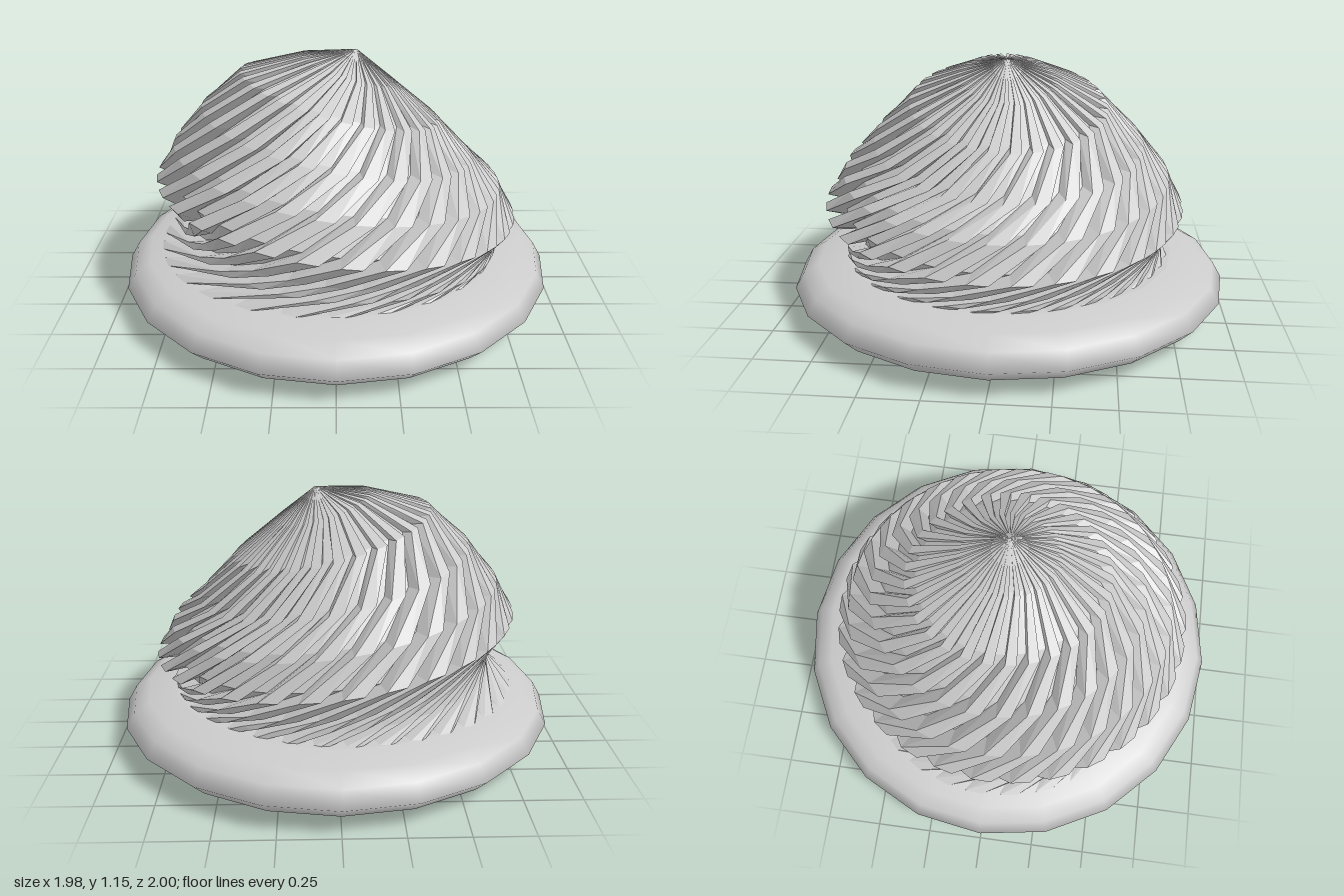
import * as THREE from 'three';

const TEETH = 30;
const DEPTH = 0.11; // groove depth as a share of the ring radius
const SIDE_TILT = -0.2; // share of the slope that also runs along z

// Tilted rings from apex to foot: centre, slope along x, radius, twist in degrees
const RINGS = [
  { cx: 0.09, cz: 0, y: 1.15, slope: 0, r: 0.002, twist: 0 },
  { cx: 0.06, cz: 0, y: 1.06, slope: -0.32, r: 0.22, twist: 5 },
  { cx: 0.02, cz: 0, y: 0.945, slope: -0.26, r: 0.445, twist: 12 },
  { cx: 0.01, cz: 0, y: 0.785, slope: -0.20, r: 0.61, twist: 27 },
  { cx: 0.01, cz: 0.01, y: 0.645, slope: -0.14, r: 0.74, twist: 43 },
  { cx: 0.005, cz: 0.02, y: 0.5, slope: -0.12, r: 0.82, twist: 59 },
  { cx: 0.02, cz: 0.02, y: 0.37, slope: -0.085, r: 0.735, twist: 77 },
  { cx: 0.02, cz: 0.02, y: 0.305, slope: -0.06, r: 0.73, twist: 92 },
  { cx: -0.02, cz: -0.01, y: 0.2, slope: -0.05, r: 0.8, twist: 120 },
];

// One gear-shaped ring: square teeth with a groove after each
function ringPoints({ cx, cz, y, slope, r, twist }) {
  const points = [];
  const corners = [[0, 1], [0.5, 1], [0.5, 1 - DEPTH], [1, 1 - DEPTH]];
  for (let i = 0; i < TEETH; i++) {
    for (const [step, k] of corners) {
      const a = ((i + step) / TEETH) * Math.PI * 2 + THREE.MathUtils.degToRad(twist);
      const dx = Math.cos(a) * r * k;
      const dz = Math.sin(a) * r * k;
      points.push([cx + dx, y + slope * (dx + SIDE_TILT * dz), cz + dz]);
    }
  }
  return points;
}

// Skin between consecutive rings
function twistedDome() {
  const rings = RINGS.map(ringPoints);
  const n = rings[0].length;
  const position = rings.flat(2);
  const index = [];
  for (let j = 0; j < rings.length - 1; j++) {
    for (let i = 0; i < n; i++) {
      const next = (i + 1) % n;
      const a = j * n + i, b = j * n + next;
      const c = a + n, d = b + n;
      index.push(a, b, c, b, d, c);
    }
  }
  const geometry = new THREE.BufferGeometry();
  geometry.setAttribute('position', new THREE.Float32BufferAttribute(position, 3));
  geometry.setIndex(index);
  const flat = geometry.toNonIndexed();
  flat.computeVertexNormals();
  return flat;
}

export function createModel() {
  const group = new THREE.Group();
  group.name = 'twistedDomeOnBase';

  // Rounded disc, with doubled points where the underside is creased
  const profile = [
    [0, 0], [0.77, 0], [0.77, 0], [0.86, 0.02], [0.94, 0.06], [0.94, 0.06], [1, 0.12],
    [0.96, 0.19], [0.89, 0.23], [0.76, 0.25], [0.76, 0.25], [0, 0.25],
  ].map(([x, y]) => new THREE.Vector2(x, y));
  const base = new THREE.Mesh(
    new THREE.LatheGeometry(profile, 20),
    new THREE.MeshStandardMaterial({ color: 0xcccccc })
  );
  base.name = 'base';
  base.scale.x = 0.99;

  // Spiral ribbed dome
  const dome = new THREE.Mesh(
    twistedDome(),
    new THREE.MeshStandardMaterial({ color: 0xcccccc, flatShading: true, side: THREE.DoubleSide })
  );
  dome.name = 'twistedDome';

  group.add(base, dome);
  return group;
}
